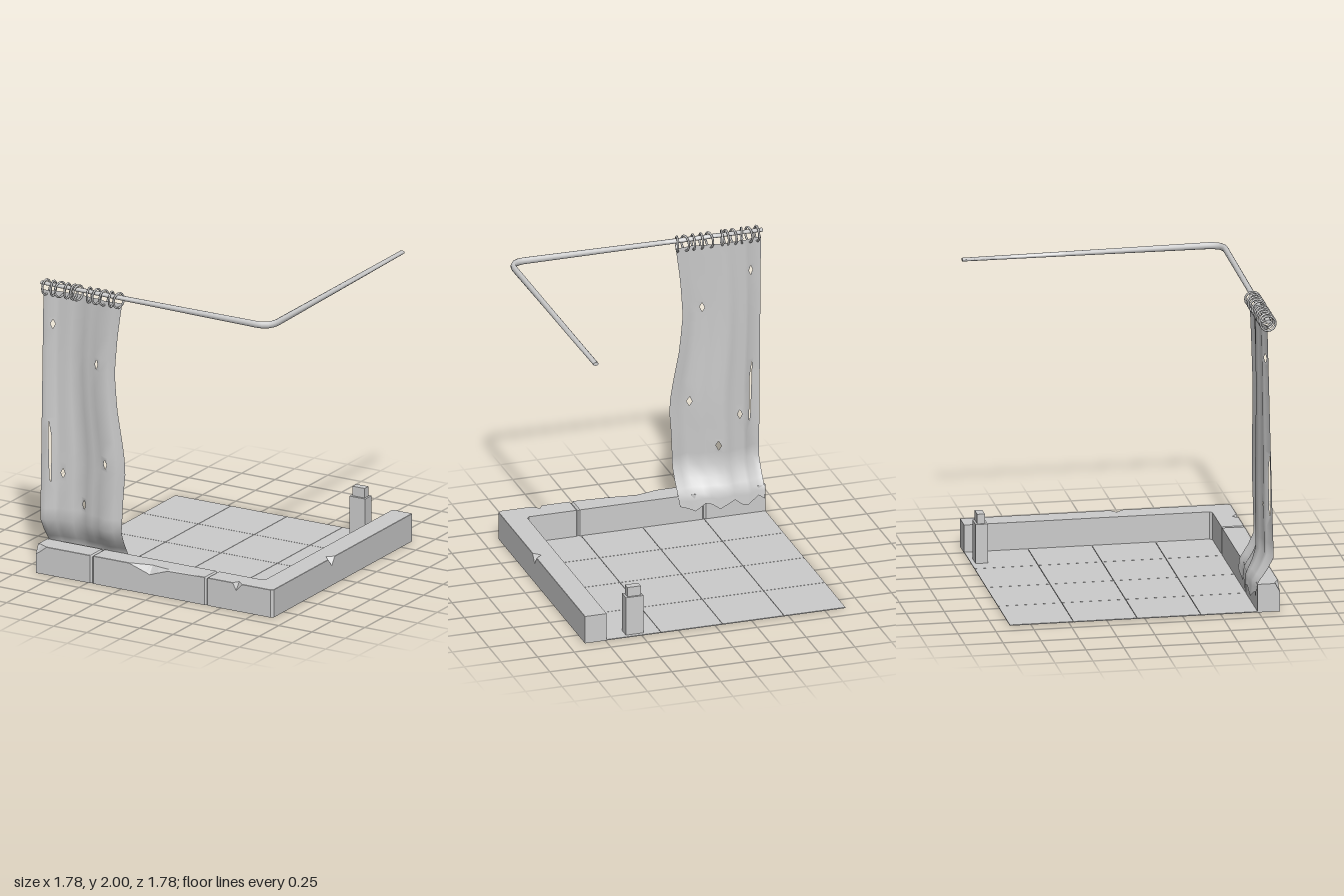
import * as THREE from 'three';
import { mergeGeometries, mergeVertices, toCreasedNormals } from 'three/addons/utils/BufferGeometryUtils.js';

// Linear interpolation through [key, value] pairs with rising keys
function lerpTable(table, k) {
  if (k <= table[0][0]) return table[0][1];
  for (let i = 1; i < table.length; i++) {
    const [k0, v0] = table[i - 1], [k1, v1] = table[i];
    if (k <= k1) return v0 + (v1 - v0) * (k - k0) / (k1 - k0);
  }
  return table[table.length - 1][1];
}

// L-shaped curb: cross-sections swept along the front, around the corner and back
function curbGeometry() {
  const H = 0.19, O = 0.89, I = 0.742, G = 0.01;
  const sections = [];
  // drop and inset chip the outer top edge; g pinches the section into a seam
  const add = (o, i, drop = 0.002, inset = 0.002, g = 0) => {
    const d = new THREE.Vector2(o[0] - i[0], o[1] - i[1]).normalize();
    const at = (p, off, y) => [p[0] - d.x * off, y, p[1] - d.y * off];
    sections.push([
      at(o, g, 0), at(o, g, H - drop - g), at(o, inset + g, H - g),
      at(i, -g, H - g), at(i, -g, 0),
    ]);
  };
  const front = (x, ...r) => add([x, O], [x, I], ...r);
  const side = (z, ...r) => add([O, z], [I, z], ...r);
  const seam = (fn, t) => { fn(t - 0.012); fn(t, 0.002, 0.002, G); fn(t + 0.012); };

  front(-0.89, 0.06, 0.03);
  front(-0.865, 0.045, 0.03);
  front(-0.81);
  seam(front, -0.47);
  front(-0.19);
  front(-0.06, 0.045, 0.035);
  front(-0.035, 0.055, 0.04);
  front(0.02, 0.035, 0.03);
  front(0.1, 0.008, 0.02);
  front(0.35);
  seam(front, 0.39);
  front(0.59);
  front(0.615, 0.05, 0.04);
  front(0.66);
  add([0.872, O], [0.725, I]);
  add([O, 0.872], [I, 0.725]);
  seam(side, 0.38);
  side(0.18);
  side(0.135, 0.055, 0.045);
  side(0.1);
  seam(side, -0.05);
  seam(side, -0.47);
  side(-0.89);

  const pos = [];
  const tri = (a, b, c) => pos.push(...a, ...b, ...c);
  for (let s = 0; s + 1 < sections.length; s++) {
    const a = sections[s], b = sections[s + 1];
    for (let k = 0; k < 4; k++) {
      tri(a[k], b[k], b[k + 1]);
      tri(a[k], b[k + 1], a[k + 1]);
    }
  }
  const first = sections[0], last = sections[sections.length - 1];
  for (let k = 1; k < 4; k++) {
    tri(first[0], first[k], first[k + 1]);
    tri(last[0], last[k + 1], last[k]);
  }
  const g = new THREE.BufferGeometry();
  g.setAttribute('position', new THREE.Float32BufferAttribute(pos, 3));
  g.computeVertexNormals();
  return g;
}

// Torn curtain: a grid of small shapes, some with holes, bent into folds
function curtainGeometry() {
  const LEFT = -0.88;
  const edge = [[0.1, -0.3], [0.19, -0.29], [0.4, -0.28], [0.6, -0.272], [0.8, -0.255], [0.96, -0.28],
    [1.2, -0.325], [1.43, -0.345], [1.6, -0.335], [1.74, -0.32], [1.92, -0.295]];
  const centre = [[0.1, 0.72], [0.19, 0.73], [0.28, 0.785], [0.36, 0.82], [1.92, 0.795]];
  const amp = [[0.1, 0.014], [0.19, 0.016], [0.36, 0.042], [1.92, 0.02]];
  const cols = [0, 0.07, 0.16, 0.2, 0.275, 0.36, 0.44, 0.53, 0.62, 0.7, 0.81, 0.9, 1];
  const rows = [0.1, 0.15, 0.19, 0.23, 0.28, 0.36, 0.44, 0.54, 0.63, 0.76, 0.86, 0.96, 1.06, 1.18, 1.3, 1.43, 1.52, 1.65, 1.74, 1.83, 1.92];
  const toU = (x, y) => (x - LEFT) / (lerpTable(edge, y) - LEFT);
  const diamonds = [[-0.81, 1.695], [-0.48, 1.475], [-0.4, 0.81], [-0.735, 0.685], [-0.585, 0.49]]
    .map(([x, y]) => [toU(x, y), y]);
  const vec = (list) => list.map(([u, y]) => new THREE.Vector2(u, y));

  const pieces = [];
  const cell = (outline, hole) => {
    const shape = new THREE.Shape(vec(outline));
    if (hole) shape.holes.push(new THREE.Path(vec(hole)));
    const g = new THREE.ShapeGeometry(shape);
    g.deleteAttribute('normal');
    g.deleteAttribute('uv');
    pieces.push(g);
  };
  for (let c = 0; c + 1 < cols.length; c++) {
    for (let r = 0; r + 1 < rows.length; r++) {
      const u0 = cols[c], u1 = cols[c + 1], y0 = rows[r], y1 = rows[r + 1];
      if (c === 1 && y0 >= 0.54 && y1 <= 1.06) continue;
      const d = diamonds.find(([u, y]) => u > u0 && u < u1 && y > y0 && y < y1);
      const hole = d && [[d[0], d[1] - 0.032], [d[0] - 0.028, d[1]], [d[0], d[1] + 0.032], [d[0] + 0.028, d[1]]];
      cell([[u0, y0], [u1, y0], [u1, y1], [u0, y1]], hole);
    }
  }
  // long slit
  const span = rows.filter((y) => y >= 0.54 && y <= 1.06);
  cell([...span.map((y) => [cols[2], y]), ...span.slice().reverse().map((y) => [cols[1], y])],
    [[0.118, 0.62], [0.104, 0.64], [0.092, 0.85], [0.09, 1.04], [0.118, 0.93]]);

  const g = mergeVertices(mergeGeometries(pieces), 1e-5);
  const p = g.attributes.position;
  for (let i = 0; i < p.count; i++) {
    const u = p.getX(i), y = p.getY(i);
    const x = LEFT + u * (lerpTable(edge, y) - LEFT);
    const fold = 0.7 * Math.cos(u * 7.5) + 0.3 * Math.sin(u * 25);
    const hem = y < 0.17 ? (0.17 - y) * 0.4 * Math.sin(u * 21) : 0;
    p.setXYZ(i, x, y + hem, lerpTable(centre, y) + lerpTable(amp, y) * fold);
  }
  g.computeVertexNormals();
  return g;
}

// Bent rail, flattened toward both ends
function railGeometry() {
  const Y = 1.966, v = (x, z) => new THREE.Vector3(x, Y, z);
  const path = new THREE.CurvePath();
  path.add(new THREE.LineCurve3(v(-0.89, 0.815), v(0.73, 0.83)));
  path.add(new THREE.QuadraticBezierCurve3(v(0.73, 0.83), v(0.825, 0.83), v(0.83, 0.73)));
  path.add(new THREE.LineCurve3(v(0.83, 0.73), v(0.815, -0.89)));
  const tube = new THREE.TubeGeometry(path, 90, 0.019, 10);
  const capA = new THREE.CircleGeometry(0.019, 10).rotateY(-Math.PI / 2).translate(-0.89, Y, 0.815);
  const capB = new THREE.CircleGeometry(0.019, 10).rotateY(Math.PI).translate(0.815, Y, -0.89);
  const g = mergeGeometries([tube, capA, capB]);
  const p = g.attributes.position;
  for (let i = 0; i < p.count; i++) {
    const far = Math.min(1, Math.max(0.8 - p.getX(i), 0.8 - p.getZ(i), 0) / 1.7);
    p.setY(i, Y + (p.getY(i) - Y) * (1.25 - 0.65 * far));
  }
  g.computeVertexNormals();
  return toCreasedNormals(g, 0.9);
}

export function createModel() {
  const model = new THREE.Group();
  const grey = new THREE.MeshStandardMaterial({ color: 0xcccccc, side: THREE.DoubleSide });
  grey.name = 'stoneGrey';
  const add = (name, geometry, parent = model) => {
    const mesh = new THREE.Mesh(geometry, grey);
    mesh.name = name;
    parent.add(mesh);
    return mesh;
  };
  const group = (name) => {
    const g = new THREE.Group();
    g.name = name;
    model.add(g);
    return g;
  };

  // floor tiles
  const floor = group('floor');
  const lines = [-0.89, -0.47, -0.05, 0.37, 0.75];
  for (let i = 0; i < 4; i++) {
    for (let j = 0; j < 4; j++) {
      const w = lines[i + 1] - lines[i], d = lines[j + 1] - lines[j];
      add('floorTile', new THREE.BoxGeometry(w - 0.003, 0.006, d - 0.003), floor)
        .position.set(lines[i] + w / 2, 0.003, lines[j] + d / 2);
    }
  }

  add('curb', curbGeometry());

  // small stepped post
  const post = group('post');
  add('postBase', new THREE.BoxGeometry(0.12, 0.27, 0.08), post).position.set(0.541, 0.135, -0.822);
  add('postTop', new THREE.BoxGeometry(0.092, 0.065, 0.05), post).position.set(0.541, 0.3025, -0.824);

  add('curtainRail', railGeometry());
  add('curtain', curtainGeometry());

  // curtain rings, each turned a little differently
  const rings = group('curtainRings');
  [-0.855, -0.8, -0.75, -0.695, -0.645, -0.615, -0.53, -0.475, -0.42, -0.365, -0.31].forEach((x, i) => {
    const ring = add('ring', new THREE.TorusGeometry(0.05, 0.007, 6, 16), rings);
    ring.position.set(x, 1.943, 0.818);
    ring.rotation.y = Math.PI / 2 + 0.22 * Math.sin(i * 2.3);
  });
  return model;
}
